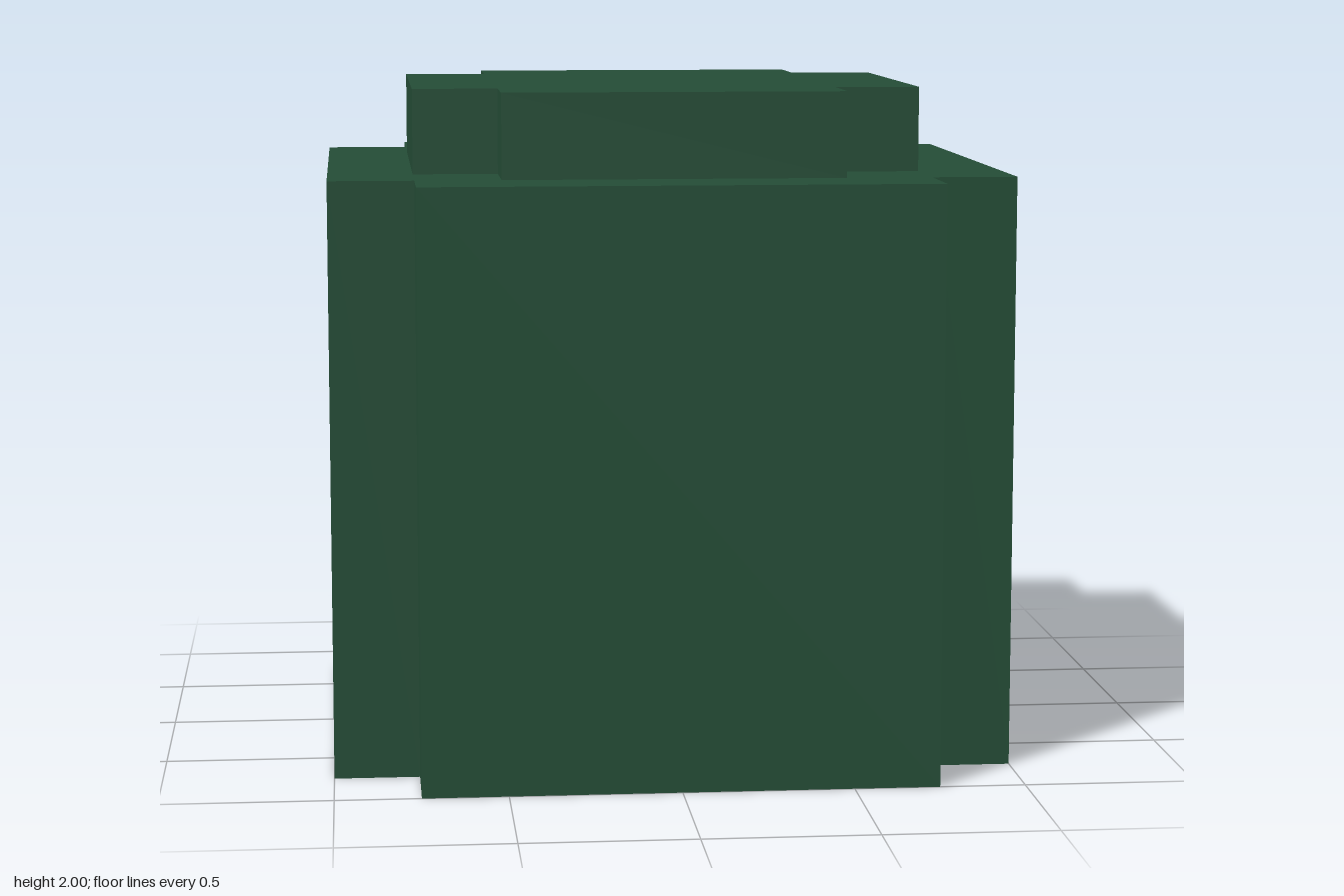
import * as THREE from 'three';

// Plus-shaped slab: a square footprint with a square notch cut from each corner
function notchedBlock(name, half, notch, bottom, top, material) {
  const inner = half - notch;
  const corners = [];
  for (let i = 0; i < 4; i++) {
    const c = Math.round(Math.cos(i * Math.PI / 2));
    const s = Math.round(Math.sin(i * Math.PI / 2));
    for (const [x, y] of [[half, -inner], [half, inner], [inner, inner]]) {
      corners.push(new THREE.Vector2(x * c - y * s, x * s + y * c));
    }
  }
  const geometry = new THREE.ExtrudeGeometry(new THREE.Shape(corners), {
    depth: top - bottom,
    bevelEnabled: false,
  });
  geometry.rotateX(-Math.PI / 2);
  geometry.translate(0, bottom, 0);
  const mesh = new THREE.Mesh(geometry, material);
  mesh.name = name;
  return mesh;
}

export function createModel() {
  const darkGreen = new THREE.MeshStandardMaterial({ color: 0x244c36 });
  darkGreen.name = 'darkGreen';

  const model = new THREE.Group();
  model.name = 'steppedBlock';
  // Tall body with a smaller raised cap of the same outline
  model.add(notchedBlock('body', 1, 0.25, 0, 1.75, darkGreen));
  model.add(notchedBlock('cap', 0.75, 0.25, 1.75, 2, darkGreen));
  return model;
}
